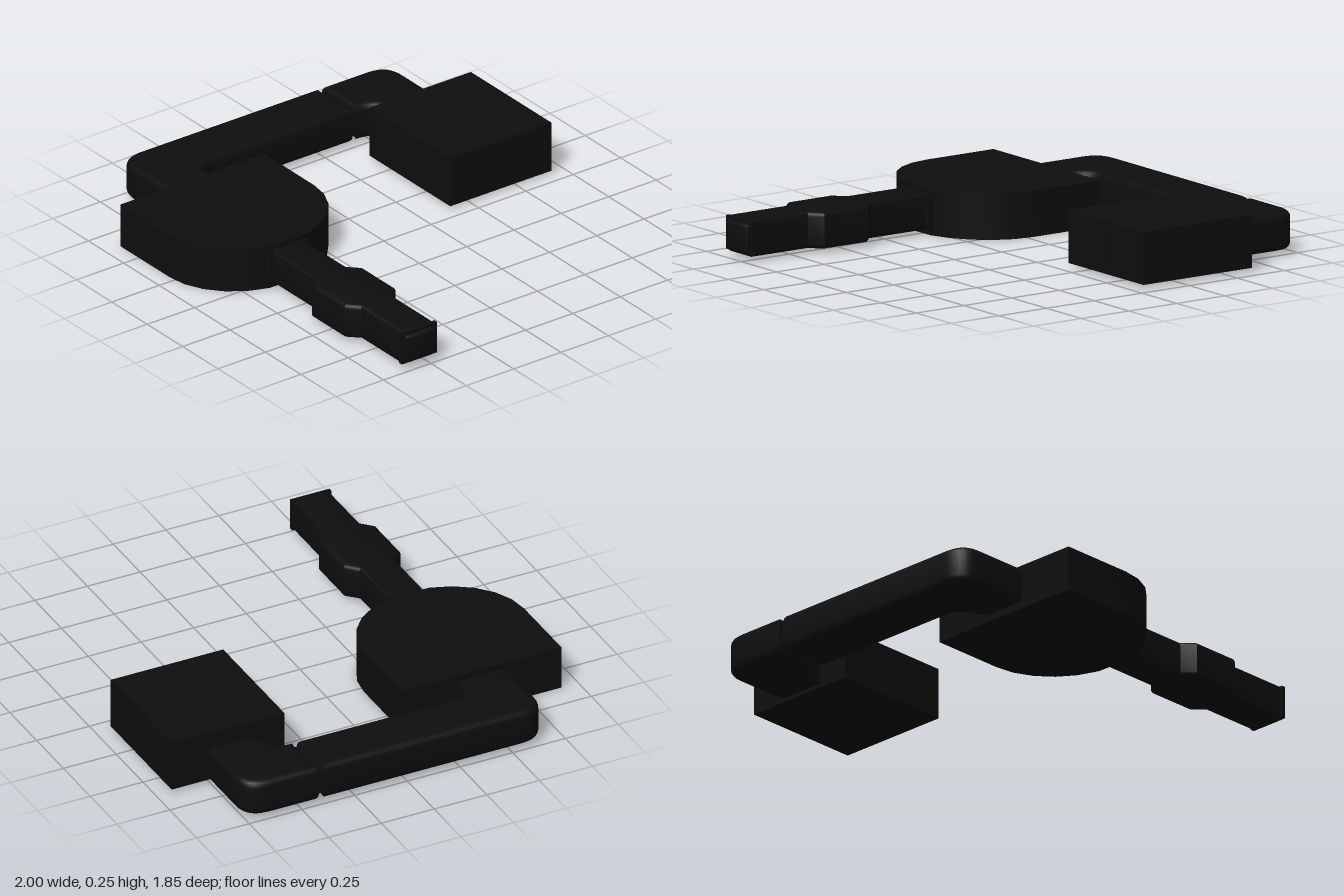
import * as THREE from 'three';
import { toCreasedNormals } from 'three/addons/utils/BufferGeometryUtils.js';

export function createModel() {
  const group = new THREE.Group();
  const material = new THREE.MeshStandardMaterial({ color: 0x0e0e0e });

  const add = (name, geometry) => {
    const mesh = new THREE.Mesh(geometry, material);
    mesh.name = name;
    group.add(mesh);
  };

  // Extrudes a plan outline (x, z) between two heights, rounding its edges inside the outline
  const slab = (name, shape, y0, y1, bevel = 0) => {
    const geometry = new THREE.ExtrudeGeometry(shape, {
      depth: y1 - y0 - 2 * bevel, curveSegments: 8,
      bevelEnabled: bevel > 0, bevelSize: bevel, bevelThickness: bevel,
      bevelOffset: -bevel, bevelSegments: 4,
    });
    geometry.rotateX(Math.PI / 2).translate(0, y1 - bevel, 0);
    add(name, toCreasedNormals(geometry, 0.6));
  };

  const box = (name, x0, x1, y0, y1, z0, z1) => {
    const geometry = new THREE.BoxGeometry(x1 - x0, y1 - y0, z1 - z0);
    add(name, geometry.translate((x0 + x1) / 2, (y0 + y1) / 2, (z0 + z1) / 2));
  };

  const polygon = (points) => new THREE.Shape(points.map(([x, z]) => new THREE.Vector2(x, z)));

  // Rectangular housing with a small nub on its end
  box('rearHousing', -0.63, -0.06, 0.015, 0.245, -0.93, -0.395);
  box('rearHousingNub', -0.07, -0.056, 0.06, 0.2, -0.7, -0.58);

  // D-shaped housing: straight back, faceted elliptical front
  const dPoints = [[-0.63, 0.92], [-0.63, 0.16]];
  for (let i = 0; i <= 12; i++) {
    const a = -Math.PI / 2 + (i * Math.PI) / 12;
    dPoints.push([Math.min(0.05, -0.28 + 0.34 * Math.cos(a)), 0.54 + 0.38 * Math.sin(a)]);
  }
  slab('frontHousing', polygon(dPoints), 0, 0.2);

  // Elbows at both ends of the connecting duct; side = 1 turns toward the front
  const elbow = (name, zEnd, zOuter, side) => {
    const zInner = zOuter - side * 0.235;
    const shape = new THREE.Shape();
    shape.moveTo(-1, zEnd);
    shape.lineTo(-1, zOuter - side * 0.11);
    shape.quadraticCurveTo(-0.995, zOuter, -0.89, zOuter);
    shape.lineTo(-0.65, zOuter);
    shape.lineTo(-0.65, zInner);
    shape.quadraticCurveTo(-0.755, zInner, -0.755, zInner - side * 0.1);
    shape.lineTo(-0.755, zEnd);
    shape.closePath();
    slab(name, shape, 0.02, 0.185, 0.03);
  };
  elbow('frontDuct', -0.4, 0.66, 1);
  elbow('rearDuctElbow', -0.42, -0.765, -1);

  // Sleeves joining the duct to itself and to the housings
  box('ductSeam', -0.99, -0.765, 0.05, 0.155, -0.46, -0.36);
  box('frontDuctSleeve', -0.7, -0.62, 0.035, 0.17, 0.435, 0.65);
  box('rearDuctSleeve', -0.7, -0.62, 0.035, 0.17, -0.755, -0.54);

  // Nozzle with a wide grip in the middle and a ribbed tip
  const half = [[0, 0.085], [0.35, 0.085], [0.4, 0.135], [0.63, 0.135], [0.68, 0.085], [0.98, 0.085]];
  const mirrored = half.map(([x, w]) => [x, -w]).reverse();
  const nozzle = [...half, ...mirrored].map(([x, w]) => [x, 0.545 + w]);
  slab('nozzle', polygon(nozzle), 0.02, 0.18, 0.02);
  slab('nozzleCollar', polygon([[0.03, 0.435], [0.06, 0.435], [0.06, 0.65], [0.03, 0.65]]), 0.02, 0.18);
  slab('tipRib', polygon([[0.96, 0.452], [0.98, 0.452], [0.98, 0.638], [0.96, 0.638]]), 0.03, 0.175);
  slab('nozzleTip', polygon([[0.95, 0.465], [0.99, 0.465], [1, 0.49], [1, 0.6], [0.99, 0.625], [0.95, 0.625]]), 0.035, 0.165, 0.015);

  return group;
}
